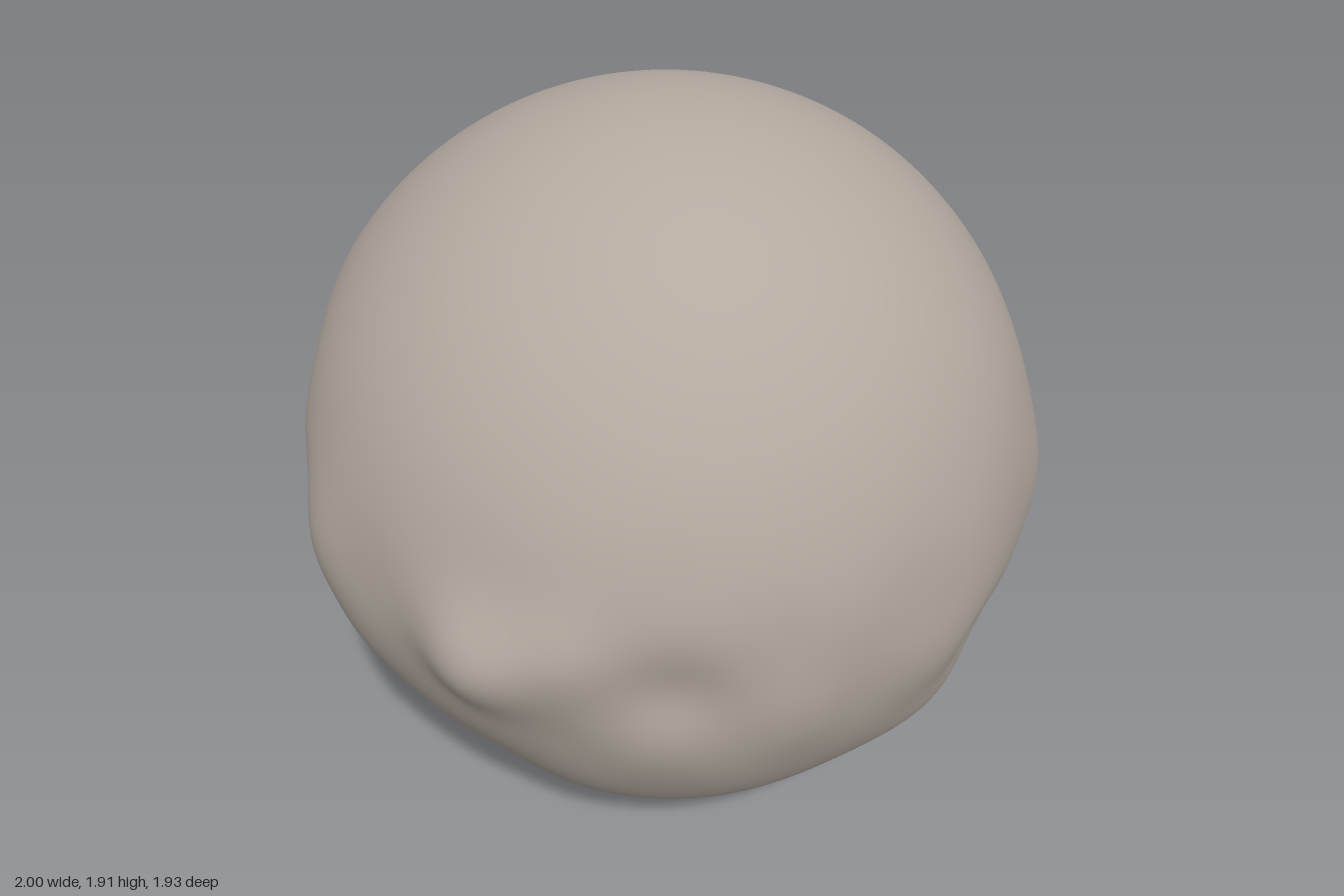
import * as THREE from 'three';
import { mergeVertices } from 'three/addons/utils/BufferGeometryUtils.js';

const BASE_RADIUS = 0.957;

// Main bumps and hollows: direction x, y, z, then height and angular width
const features = [
  // right flank: knob, ridge and hollows
  [-1, -0.04, 0.23, 0.07, 0.1],
  [-0.9, 0.03, 0.42, 0.025, 0.09],
  [-0.72, -0.08, 0.62, -0.035, 0.1],
  [-0.92, 0.02, -0.31, 0.03, 0.12],
  [-0.8, 0.01, -0.5, -0.03, 0.1],
  [-0.78, -0.5, 0.05, -0.03, 0.22],
  // back
  [-0.62, 0.22, -0.7, -0.03, 0.15],
  [-0.24, 0, -0.95, 0.022, 0.12],
  [-0.61, -0.41, -0.61, 0.025, 0.1],
  [0.12, -0.4, -0.88, 0.022, 0.11],
  [0, -0.66, -0.72, -0.026, 0.14],
  // front ledges and dent
  [0, -0.16, 0.96, 0.018, 0.13],
  [0.08, -0.27, 0.93, -0.025, 0.1],
  [0.02, -0.47, 0.85, 0.032, 0.13],
  [0.54, -0.05, 0.84, 0.034, 0.16],
  // left flank
  [0.97, -0.02, 0.14, 0.045, 0.17],
  [0.88, -0.2, 0.38, 0.025, 0.1],
  [0.9, -0.36, 0.2, -0.02, 0.12],
  [0.88, -0.4, -0.18, 0.024, 0.11],
  [0.88, 0.46, 0, 0.042, 0.23],
].map(([x, y, z, height, width]) => ({
  dir: new THREE.Vector3(x, y, z).normalize(), height, width,
}));

// Radius in a given direction: bumps and hollows plus a faint ripple round the middle
function radiusAt(d) {
  let r = BASE_RADIUS;
  for (const f of features) {
    r += f.height * Math.exp((d.dot(f.dir) - 1) / (f.width * f.width));
  }
  const belt = Math.exp(-Math.pow((d.y + 0.2) / 0.4, 2));
  const ripple = Math.sin(9 * d.x + 4 * d.y + 1) * Math.sin(11 * d.y - 3 * d.z) * Math.sin(10 * d.z + 5 * d.x + 2);
  return r + 0.007 * belt * ripple;
}

function boulderGeometry() {
  const ball = new THREE.IcosahedronGeometry(1, 44);
  ball.deleteAttribute('uv');
  ball.deleteAttribute('normal');
  const geometry = mergeVertices(ball, 1e-5);
  const pos = geometry.attributes.position;
  const d = new THREE.Vector3();
  for (let i = 0; i < pos.count; i++) {
    d.fromBufferAttribute(pos, i).normalize();
    d.multiplyScalar(radiusAt(d));
    pos.setXYZ(i, d.x, d.y, d.z);
  }
  geometry.computeVertexNormals();
  return geometry;
}

export function createModel() {
  const group = new THREE.Group();
  group.name = 'roundBoulder';

  const stone = new THREE.MeshStandardMaterial({ color: 0xb3a99f });
  stone.name = 'warm grey stone';

  const body = new THREE.Mesh(boulderGeometry(), stone);
  body.name = 'boulderBody';
  // rest the lowest point on the ground
  body.geometry.computeBoundingBox();
  body.position.y = -body.geometry.boundingBox.min.y;
  group.add(body);
  return group;
}
